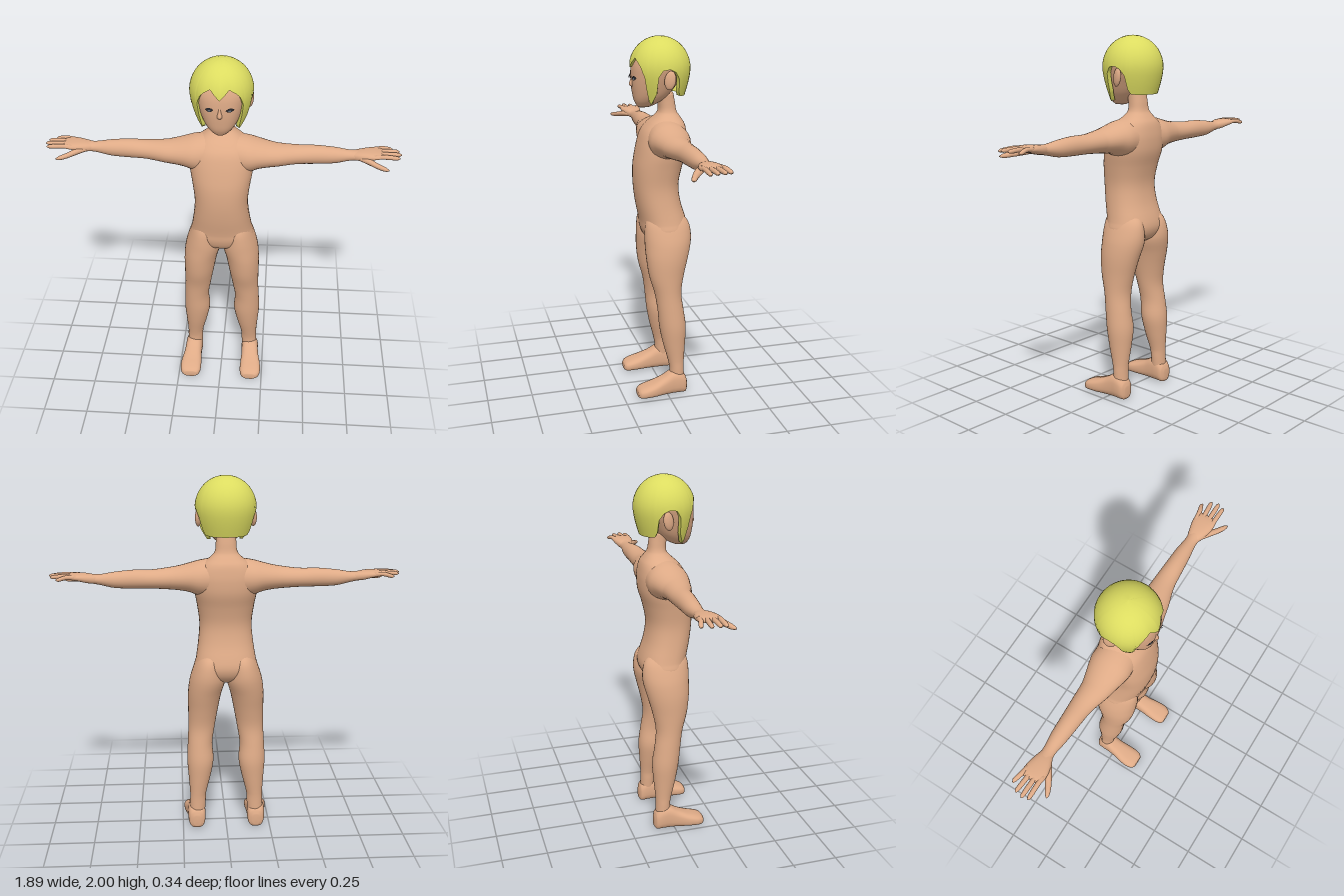
import * as THREE from 'three';

const material = (name, color) => {
  const m = new THREE.MeshStandardMaterial({ color });
  m.name = name;
  return m;
};

// Smoothly interpolated rows between the key cross-sections
function refine(rows, steps) {
  const out = [];
  for (let i = 0; i < rows.length - 1; i++) {
    const p0 = rows[Math.max(i - 1, 0)], p1 = rows[i], p2 = rows[i + 1], p3 = rows[Math.min(i + 2, rows.length - 1)];
    for (let s = 0; s < steps; s++) {
      const t = s / steps;
      out.push(p1.map((_, k) => {
        if (k === 0) return p1[0] + (p2[0] - p1[0]) * t;
        const h = p2[0] - p1[0];
        const m1 = (p2[k] - p0[k]) / (p2[0] - p0[0]) * h, m2 = (p3[k] - p1[k]) / (p3[0] - p1[0]) * h;
        const t2 = t * t, t3 = t2 * t;
        return (2 * t3 - 3 * t2 + 1) * p1[k] + (t3 - 2 * t2 + t) * m1 + (3 * t2 - 2 * t3) * p2[k] + (t3 - t2) * m2;
      }));
    }
  }
  out.push(rows[rows.length - 1]);
  return out;
}

// Closed skin over rows [t, a, b, radiusA, radiusB], t ascending along the axis
const PLACE = {
  x: (t, a, b) => [t, a, b],
  y: (t, a, b) => [a, t, b],
  z: (t, a, b) => [a, b, t],
};
function loft(axis, keys, { side = 1, n = 28, p = 2, steps = 4 } = {}) {
  const rows = refine(keys, steps), pos = [], idx = [];
  const put = (t, a, b) => {
    const [x, y, z] = PLACE[axis](t, a, b);
    pos.push(x * side, y, z);
  };
  const pw = (v) => Math.sign(v) * Math.abs(v) ** (2 / p);
  const flip = (axis === 'y') !== (side < 0);
  const tri = (a, b, c) => (flip ? idx.push(a, c, b) : idx.push(a, b, c));
  for (const [t, a, b, ra, rb] of rows) {
    for (let j = 0; j < n; j++) {
      const g = (j / n) * Math.PI * 2;
      put(t, a + ra * pw(Math.cos(g)), b + rb * pw(Math.sin(g)));
    }
  }
  const last = rows.length - 1;
  put(...rows[0].slice(0, 3));
  put(...rows[last].slice(0, 3));
  const c0 = rows.length * n, c1 = c0 + 1;
  for (let j = 0; j < n; j++) {
    const k = (j + 1) % n;
    for (let i = 0; i < last; i++) {
      const a = i * n + j, b = i * n + k;
      tri(a, b, a + n);
      tri(b, b + n, a + n);
    }
    tri(k, j, c0);
    tri(last * n + j, last * n + k, c1);
  }
  const g = new THREE.BufferGeometry();
  g.setAttribute('position', new THREE.Float32BufferAttribute(pos, 3));
  g.setIndex(idx);
  g.computeVertexNormals();
  return g;
}

// Hair: lower edge height by angle from the front, mirrored to the other side
const HAIR_EDGE = [[0, 1.84], [18, 1.893], [30, 1.872], [38, 1.85], [46, 1.80], [49, 1.67], [53, 1.65], [62, 1.68], [69, 1.71],
  [74, 1.8], [82, 1.835], [95, 1.84], [106, 1.825], [115, 1.79], [120, 1.72], [126, 1.695], [142, 1.69], [160, 1.69], [180, 1.69]];
const hairRadius = (y) => y > 1.83
  ? 0.165 * Math.sqrt(Math.max(0, 1 - ((y - 1.83) / 0.17) ** 2))
  : 0.165 - 0.045 * ((1.83 - y) / 0.18) ** 1.5;

function hairGeometry() {
  const half = [];
  HAIR_EDGE.forEach(([a, y], i) => {
    const next = HAIR_EDGE[i + 1];
    half.push([a, y]);
    if (next) half.push([(a + next[0]) / 2, (y + next[1]) / 2]);
  });
  const cols = [...half, ...half.slice(0, -1).reverse().map(([a, y]) => [360 - a, y])];
  const R = 14, pos = [], idx = [];
  for (const [deg, edge] of cols) {
    const s = Math.sin(deg * Math.PI / 180), c = Math.cos(deg * Math.PI / 180);
    const put = (r, y) => pos.push(r * s, y, r * c - 0.004);
    for (let i = 0; i <= R; i++) {
      const y = 2 - (2 - edge) * (i / R) ** 1.7;
      put(hairRadius(y), y);
    }
    // rim turned inwards
    put(hairRadius(edge), edge);
    put(hairRadius(edge) - 0.022, edge + 0.004);
  }
  const S = R + 3;
  for (let j = 0; j < cols.length - 1; j++) {
    for (let i = 0; i < S - 1; i++) {
      if (i === R) continue;
      const a = j * S + i, b = a + S;
      idx.push(a, a + 1, b, b, a + 1, b + 1);
    }
  }
  const g = new THREE.BufferGeometry();
  g.setAttribute('position', new THREE.Float32BufferAttribute(pos, 3));
  g.setIndex(idx);
  g.computeVertexNormals();
  return g;
}

// Thin almond curved to the face
function eyePlate(cx, cy, w, h, lift) {
  const shape = new THREE.Shape();
  shape.moveTo(-w, 0);
  shape.quadraticCurveTo(0, h * 2, w, h * 0.3);
  shape.quadraticCurveTo(0, -h * 2, -w, 0);
  const g = new THREE.ShapeGeometry(shape, 8), p = g.attributes.position;
  for (let i = 0; i < p.count; i++) {
    const x = cx + p.getX(i);
    const z = 0.014 + 0.14 * (1 - (Math.abs(x) / 0.125) ** 2.5) ** 0.4;
    p.setXYZ(i, x, cy + p.getY(i), z + lift);
  }
  g.computeVertexNormals();
  return g;
}

export function createModel() {
  const skin = material('skin', 0xdfab87);
  const hair = material('hair', 0xdcdc60);
  hair.side = THREE.DoubleSide;
  const dark = material('eyeDark', 0x2b2b30);
  const iris = material('iris', 0x66727e);
  dark.side = iris.side = THREE.DoubleSide;

  const model = new THREE.Group();
  model.name = 'figure';
  const add = (name, geometry, mat = skin) => {
    const m = new THREE.Mesh(geometry, mat);
    m.name = name;
    model.add(m);
  };

  // Torso and neck
  add('torso', loft('y', [
    [0.87, 0, -0.02, 0.03, 0.05], [0.9, 0, -0.02, 0.13, 0.1], [0.95, 0, -0.021, 0.176, 0.125], [1.0, 0, -0.017, 0.167, 0.127],
    [1.1, 0, 0.008, 0.152, 0.122], [1.2, 0, 0.02, 0.145, 0.122], [1.3, 0, 0.011, 0.157, 0.131], [1.38, 0, -0.007, 0.17, 0.136],
    [1.45, 0, -0.018, 0.17, 0.13], [1.5, 0, -0.025, 0.155, 0.118], [1.54, 0, -0.036, 0.125, 0.097], [1.57, 0, -0.043, 0.088, 0.071],
    [1.6, 0, -0.045, 0.062, 0.05], [1.65, 0, -0.04, 0.055, 0.046], [1.7, 0, -0.03, 0.055, 0.046],
  ], { n: 40, p: 2.3 }));

  // Head, nose
  add('head', loft('y', [
    [1.627, 0, 0.085, 0.022, 0.03], [1.64, 0, 0.075, 0.045, 0.05], [1.665, 0, 0.06, 0.07, 0.077], [1.7, 0, 0.044, 0.092, 0.1],
    [1.75, 0, 0.028, 0.112, 0.122], [1.8, 0, 0.011, 0.129, 0.14], [1.85, 0, 0, 0.14, 0.146], [1.9, 0, -0.002, 0.128, 0.13],
    [1.95, 0, -0.002, 0.088, 0.088], [1.98, 0, 0, 0.03, 0.03],
  ], { n: 40, p: 2.4 }));
  add('nose', loft('y', [
    [1.735, 0, 0.143, 0.006, 0.006], [1.748, 0, 0.146, 0.014, 0.018], [1.77, 0, 0.144, 0.01, 0.015], [1.8, 0, 0.142, 0.006, 0.008],
  ], { n: 12 }));
  add('hair', hairGeometry(), hair);

  for (const side of [1, -1]) {
    const tag = side > 0 ? 'left' : 'right';

    // Eyes and ears
    add(tag + 'Eye', eyePlate(side * 0.052, 1.787, 0.022, 0.011, 0.003), dark);
    add(tag + 'Iris', eyePlate(side * 0.052, 1.783, 0.009, 0.006, 0.005), iris);
    const ear = new THREE.SphereGeometry(1, 16, 12);
    ear.scale(0.016, 0.05, 0.03);
    ear.rotateY(side * -0.35);
    ear.rotateX(-0.15);
    ear.translate(side * 0.146, 1.782, -0.022);
    add(tag + 'Ear', ear);

    // Arm, from inside the shoulder to the wrist
    add(tag + 'Arm', loft('x', [
      [0.04, 1.46, -0.025, 0.105, 0.105], [0.1, 1.457, -0.023, 0.103, 0.11], [0.15, 1.457, -0.022, 0.094, 0.111],
      [0.2, 1.459, -0.021, 0.078, 0.1], [0.25, 1.457, -0.02, 0.067, 0.087], [0.3, 1.455, -0.02, 0.06, 0.075],
      [0.4, 1.454, -0.032, 0.051, 0.058], [0.5, 1.455, -0.035, 0.05, 0.05], [0.6, 1.453, -0.038, 0.043, 0.043],
      [0.68, 1.456, -0.038, 0.028, 0.033], [0.74, 1.462, -0.034, 0.024, 0.04],
    ], { side }));

    // Hand with four fingers and a thumb
    add(tag + 'Palm', loft('x', [
      [0.69, 1.457, -0.038, 0.022, 0.03], [0.74, 1.463, -0.034, 0.025, 0.048], [0.79, 1.471, -0.033, 0.02, 0.059],
      [0.83, 1.474, -0.033, 0.015, 0.058], [0.85, 1.475, -0.033, 0.008, 0.05],
    ], { side, n: 20, p: 2.4 }));
    const fingers = [[-0.077, -0.097, 0.905, 1.468], [-0.047, -0.058, 0.938, 1.475], [-0.018, -0.02, 0.947, 1.477], [0.01, 0.012, 0.937, 1.473]];
    fingers.forEach(([z0, z1, tip, y], i) => add(tag + 'Finger' + (i + 1), loft('x', [
      [0.8, 1.474, z0, 0.012, 0.014], [0.85, 1.477, z0 + (z1 - z0) * 0.4, 0.012, 0.013],
      [tip - 0.015, y, z1, 0.01, 0.011], [tip, y - 0.001, z1, 0.003, 0.004],
    ], { side, n: 12, steps: 3 })));
    add(tag + 'Thumb', loft('x', [
      [0.72, 1.456, -0.015, 0.012, 0.02], [0.77, 1.453, 0.014, 0.017, 0.024], [0.82, 1.442, 0.048, 0.014, 0.018],
      [0.86, 1.436, 0.068, 0.011, 0.013], [0.878, 1.434, 0.075, 0.003, 0.004],
    ], { side, n: 12, steps: 3 }));

    // Leg, from inside the hip to the ankle
    add(tag + 'Leg', loft('y', [
      [0.05, 0.168, -0.062, 0.042, 0.042], [0.15, 0.164, -0.06, 0.045, 0.041], [0.2, 0.162, -0.056, 0.046, 0.046],
      [0.3, 0.153, -0.047, 0.062, 0.063], [0.4, 0.147, -0.04, 0.075, 0.075], [0.5, 0.148, -0.028, 0.07, 0.073],
      [0.6, 0.138, -0.015, 0.075, 0.075], [0.7, 0.129, -0.009, 0.084, 0.097], [0.8, 0.119, -0.015, 0.094, 0.117],
      [0.88, 0.103, -0.023, 0.1, 0.129], [0.94, 0.097, -0.024, 0.089, 0.13], [1.0, 0.09, -0.02, 0.072, 0.12], [1.05, 0.08, -0.01, 0.05, 0.09],
    ], { side, n: 32 }));

    // Foot, heel to toe
    add(tag + 'Foot', loft('z', [
      [-0.116, 0.17, 0.045, 0.02, 0.03], [-0.105, 0.17, 0.052, 0.042, 0.052], [-0.07, 0.171, 0.067, 0.05, 0.067],
      [-0.03, 0.172, 0.068, 0.05, 0.068], [0.02, 0.175, 0.054, 0.052, 0.054], [0.08, 0.179, 0.041, 0.06, 0.041],
      [0.13, 0.18, 0.033, 0.061, 0.033], [0.16, 0.179, 0.027, 0.052, 0.027], [0.173, 0.178, 0.024, 0.036, 0.018],
    ], { side, n: 28, p: 2.7 }));
  }
  return model;
}
